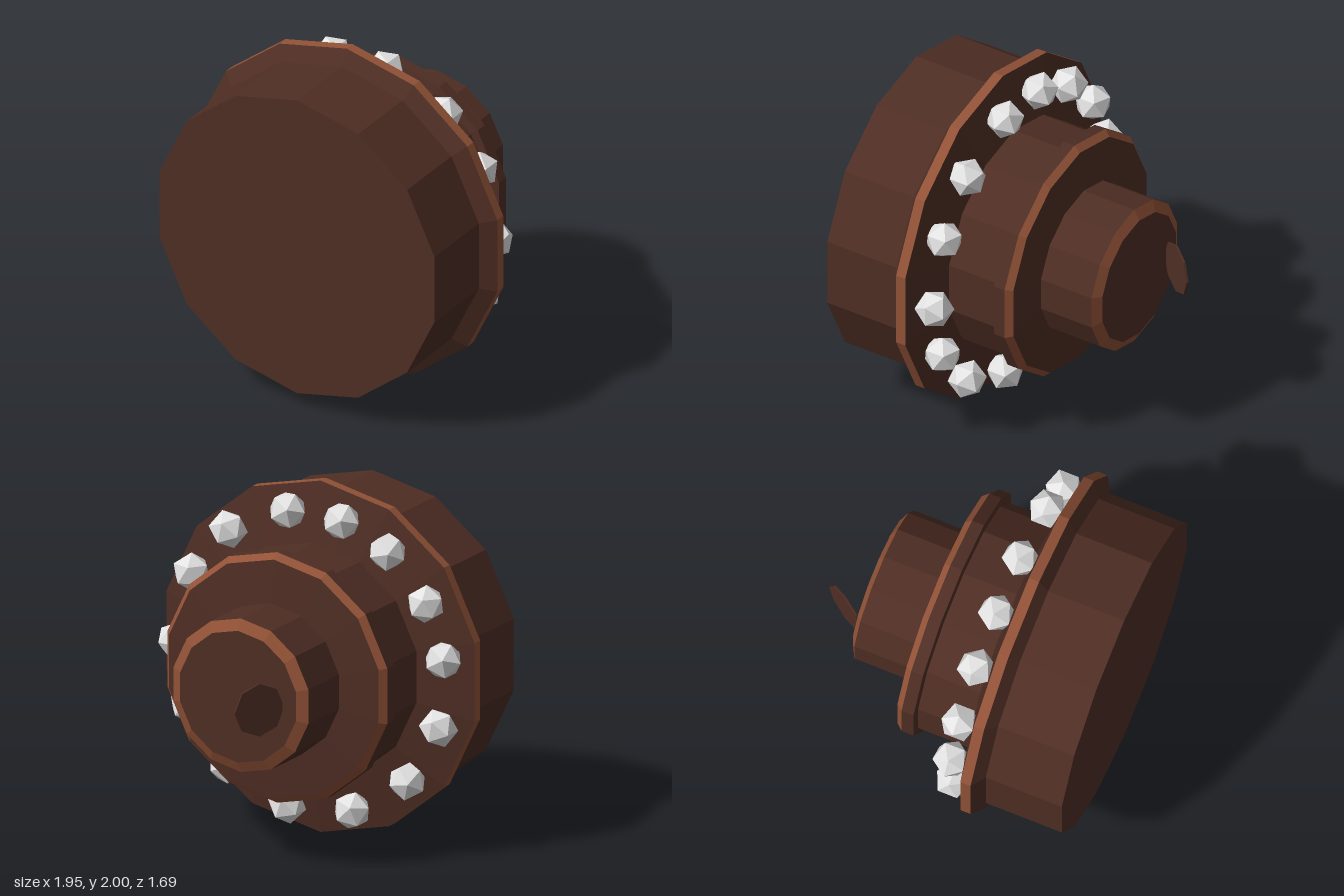
import * as THREE from 'three';

const SIDES = 14;

export function createModel() {
  const model = new THREE.Group();
  const chocolate = new THREE.MeshStandardMaterial({ color: 0x4f2e24, flatShading: true });
  chocolate.name = 'chocolate';
  const caramel = new THREE.MeshStandardMaterial({ color: 0x925237, flatShading: true });
  caramel.name = 'caramel';
  const sugar = new THREE.MeshStandardMaterial({ color: 0xe2e2e2, flatShading: true });
  sugar.name = 'sugar';

  // The tiered cake lies on its side: its base faces +z, its tiers step back along -z
  const cake = new THREE.Group();
  cake.name = 'cake';
  cake.position.y = 1;
  model.add(cake);

  // One faceted band between two rings [radius, z]
  function band(name, material, [r0, z0], [r1, z1]) {
    const geo = new THREE.CylinderGeometry(r1, r0, z0 - z1, SIDES, 1, true);
    geo.rotateX(-Math.PI / 2);
    const mesh = new THREE.Mesh(geo, material);
    mesh.name = name;
    mesh.position.z = (z0 + z1) / 2;
    cake.add(mesh);
  }

  // Flat end cap
  function cap(name, radius, z, facing) {
    const geo = new THREE.CircleGeometry(radius, SIDES, Math.PI / 2);
    if (facing < 0) geo.rotateY(Math.PI);
    const mesh = new THREE.Mesh(geo, chocolate);
    mesh.name = name;
    mesh.position.z = z;
    cake.add(mesh);
  }

  // Rings from the base to the top, each with the band that follows it
  const profile = [
    [0.913, 0.843, 'bottomTier'],
    [0.913, 0.395, 'bottomFlare'],
    [1.0, 0.34, 'bottomTrim', caramel],
    [1.0, 0.28, 'bottomIcing'],
    [0.665, 0.208, 'middleTier'],
    [0.665, -0.105, 'middleLip'],
    [0.713, -0.113, 'middleRim'],
    [0.713, -0.183, 'middleTrim', caramel],
    [0.68, -0.22, 'middleIcing'],
    [0.437, -0.245, 'topTier'],
    [0.437, -0.573, 'topTrim', caramel],
    [0.375, -0.605],
  ];
  for (let i = 0; i < profile.length - 1; i++) {
    band(profile[i][2], profile[i][3] ?? chocolate, profile[i], profile[i + 1]);
  }
  cap('base', 0.913, 0.843, 1);
  cap('topIcing', 0.375, -0.605, -1);

  // Sugar crystals: [angle clockwise from the top, spin], in degrees
  const crystals = [
    [9.8, 58], [37.7, 12], [62.3, 32], [90.7, 90], [115, 32], [142, 70], [170, 20],
    [198, 45], [226, 80], [252.4, 10], [279, 60], [301, 35], [325, 75], [346.7, 58],
  ];
  const crystalGeo = new THREE.IcosahedronGeometry(0.109);
  crystals.forEach(([angle, spin]) => {
    const a = THREE.MathUtils.degToRad(angle);
    const crystal = new THREE.Mesh(crystalGeo, sugar);
    crystal.name = 'sugarCrystal';
    crystal.position.set(0.85 * Math.sin(a), 0.85 * Math.cos(a), 0.172);
    crystal.rotation.z = THREE.MathUtils.degToRad(spin);
    cake.add(crystal);
  });

  // Thin chocolate disc pushed into the top at a slant
  const disc = new THREE.Mesh(new THREE.CylinderGeometry(0.15, 0.15, 0.012, 8), chocolate);
  disc.name = 'chocolateDisc';
  disc.geometry.rotateZ(Math.PI / 2);
  disc.rotation.y = -Math.atan2(0.545, 0.839);
  disc.position.set(-0.2, -0.016, -0.718);
  cake.add(disc);

  return model;
}
